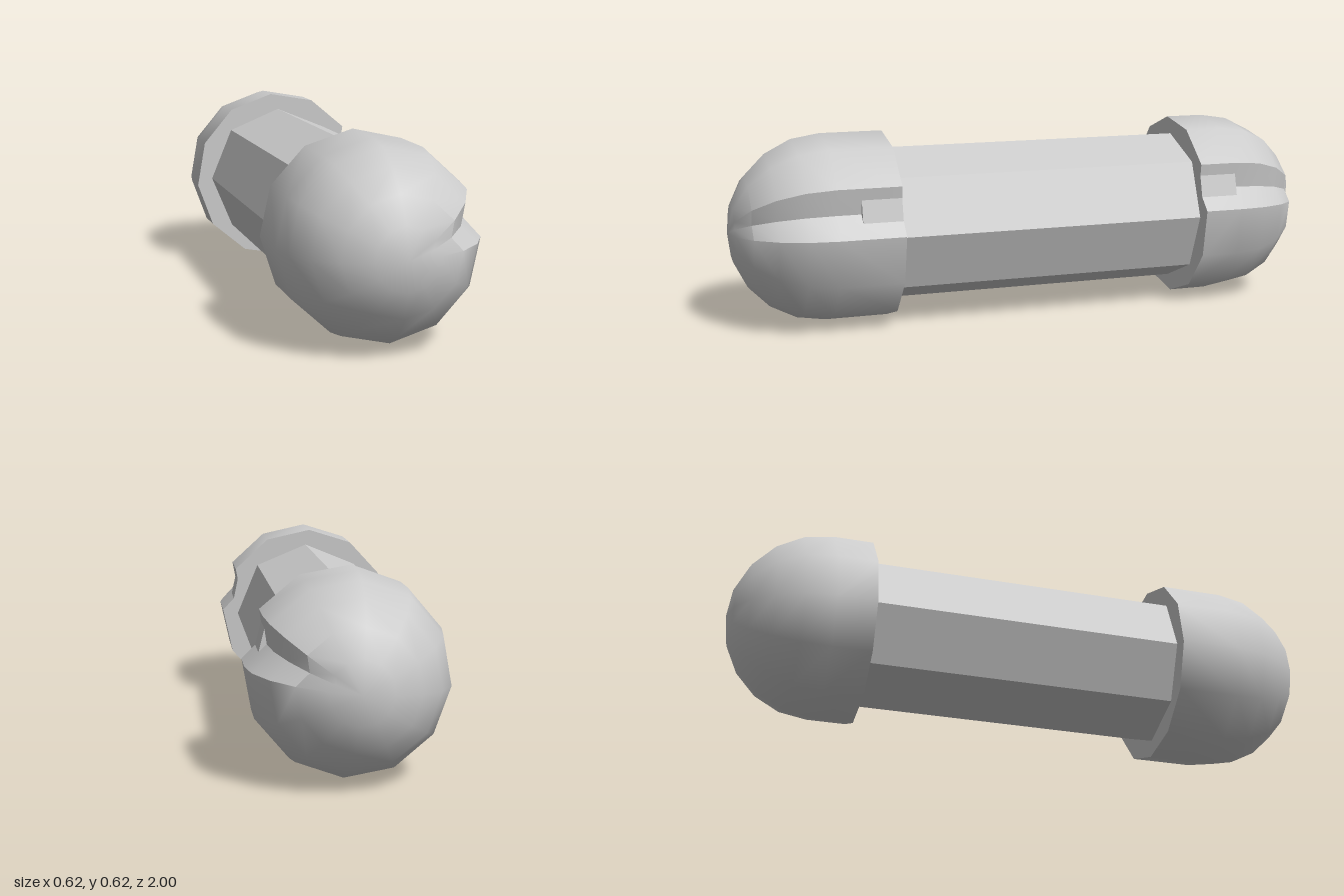
import * as THREE from 'three';
import { toCreasedNormals } from 'three/addons/utils/BufferGeometryUtils.js';

const RADIUS = 0.31;
const DEG = Math.PI / 180;
const material = new THREE.MeshStandardMaterial({ color: 0xcccccc });

// Skin a stack of equal-length rings of points; dir -1 flips the winding.
function loft(rings, dir, crease) {
  const pos = [];
  const tri = (a, b, c) => {
    const area = b.clone().sub(a).cross(c.clone().sub(a)).length();
    if (area < 1e-7) return;
    for (const p of dir > 0 ? [a, b, c] : [a, c, b]) pos.push(p.x, p.y, p.z);
  };
  for (let i = 0; i < rings.length - 1; i++) {
    const n = rings[i].length;
    for (let j = 0; j < n; j++) {
      const k = (j + 1) % n;
      tri(rings[i][j], rings[i][k], rings[i + 1][k]);
      tri(rings[i][j], rings[i + 1][k], rings[i + 1][j]);
    }
  }
  const geo = new THREE.BufferGeometry();
  geo.setAttribute('position', new THREE.Float32BufferAttribute(pos, 3));
  return toCreasedNormals(geo, crease);
}

function addMesh(group, geo, name) {
  const mesh = new THREE.Mesh(geo, material);
  mesh.name = name;
  group.add(mesh);
  return mesh;
}

// Domed end with a wedge notch in its side and a small block in the notch.
function makeCap(name, dir, rim, pole, turn) {
  const cap = new THREE.Group();
  cap.name = name;

  // Twelve-sided outline, with the notch floor after the first corner
  const outline = [];
  const corner = (deg, r) => outline.push(new THREE.Vector2(Math.cos(deg * DEG) * r, Math.sin(deg * DEG) * r));
  for (let i = 0; i < 12; i++) {
    corner(turn + i * 30, RADIUS);
    if (i === 0) corner(turn + 16, 0.259);
  }
  const ring = (pts, scale, z) => pts.map(p => new THREE.Vector3(p.x * scale, p.y * scale, z * dir));

  // Flat rim, straight collar, then the rounded dome
  const rings = [ring(outline, 0, rim), ring(outline, 1, rim)];
  for (let i = 0; i <= 5; i++) {
    const a = i * 18 * DEG;
    rings.push(ring(outline, i === 5 ? 0 : Math.cos(a), pole - RADIUS + RADIUS * Math.sin(a)));
  }
  addMesh(cap, loft(rings, dir, 38 * DEG), name + 'Dome');

  // Triangular block at the open end of the notch
  const floor = outline[1];
  const wedge = [
    floor.clone().lerp(outline[0], 0.37),
    floor.clone().lerp(outline[2], 0.55),
    floor,
  ];
  const mid = floor.clone().add(wedge[0]).add(wedge[1]).divideScalar(3);
  const centre = wedge.map(() => mid);
  const end = rim + 0.13;
  addMesh(cap, loft([ring(centre, 1, rim), ring(wedge, 1, rim), ring(wedge, 1, end), ring(centre, 1, end)], dir, 0.3), name + 'NotchBlock');
  return cap;
}

export function createModel() {
  const model = new THREE.Group();
  model.name = 'capsule';

  // Octagonal shaft between the caps
  const shaftGeo = new THREE.CylinderGeometry(0.255, 0.255, 1.06, 8).rotateX(Math.PI / 2);
  const shaft = addMesh(model, toCreasedNormals(shaftGeo, 0.3), 'shaft');
  shaft.position.set(0, 0.31, -0.04);

  const front = makeCap('frontCap', 1, 0.48, 0.998, 2.6);
  front.position.y = 0.31;
  const back = makeCap('backCap', -1, 0.56, 1, 5);
  back.position.y = 0.313;
  model.add(front, back);
  return model;
}
